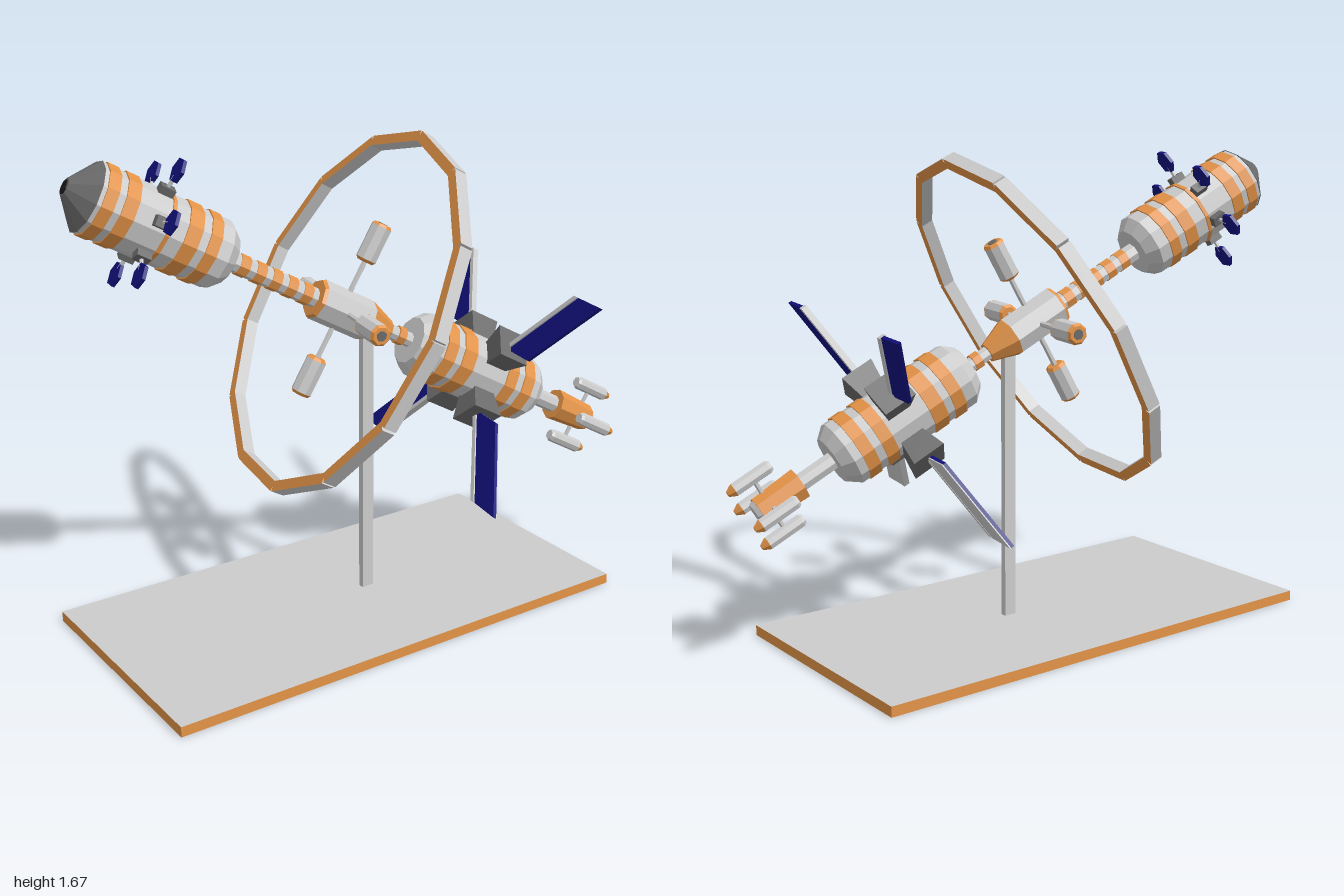
import * as THREE from 'three';

const mat = (color, extra = {}) =>
  new THREE.MeshStandardMaterial({ color, flatShading: true, ...extra });
const grey = mat(0xcccccc);
const orange = mat(0xe39347);
const dark = mat(0x6a6a6a);
const black = mat(0x181818);
const navy = mat(0x12127f);

function add(parent, name, geometry, material) {
  const mesh = new THREE.Mesh(geometry, material);
  mesh.name = name;
  parent.add(mesh);
  return mesh;
}

// Tapered cylinder along local z, from z0 (radius r0) to z1 (radius r1)
function barrel(parent, name, z0, z1, r0, r1, material, sides = 12) {
  const geo = new THREE.CylinderGeometry(r1, r0, z1 - z0, sides);
  geo.rotateX(Math.PI / 2).translate(0, 0, (z0 + z1) / 2);
  return add(parent, name, geo, material);
}

// Tapered cylinder along local y, from y0 to y1
function rod(parent, name, y0, y1, r0, r1, material, sides = 8) {
  const geo = new THREE.CylinderGeometry(r1, r0, y1 - y0, sides);
  return add(parent, name, geo.translate(0, (y0 + y1) / 2, 0), material);
}

// Groups spread around the local z axis, each with +y pointing outward
function around(parent, name, count, startDeg, z, build) {
  for (let i = 0; i < count; i++) {
    const g = new THREE.Group();
    g.name = name;
    g.position.z = z;
    g.rotation.z = THREE.MathUtils.degToRad(startDeg - 90 + (i * 360) / count);
    build(g, i);
    parent.add(g);
  }
}

// Banded drum with chamfered ends
function drum(parent, name, z0, z1, bands, frontChamfer) {
  const g = new THREE.Group();
  g.name = name;
  barrel(g, 'drumBody', z0, z1, 0.118, 0.118, grey);
  barrel(g, 'rearChamfer', z0 - 0.04, z0, 0.085, 0.118, grey);
  if (frontChamfer) barrel(g, 'frontChamfer', z1, z1 + 0.04, 0.118, 0.085, grey);
  for (const [a, b] of bands) barrel(g, 'drumBand', a, b, 0.123, 0.123, orange);
  parent.add(g);
  return g;
}

function buildStand(root) {
  const base = add(root, 'base', new THREE.BoxGeometry(0.878, 0.036, 1.767),
    [orange, orange, grey, grey, orange, orange]);
  base.position.set(0.008, 0.018, 0.108);
  base.rotation.y = -0.018;
  const post = add(root, 'post', new THREE.BoxGeometry(0.022, 1.0, 0.046), grey);
  post.position.set(0.01, 0.53, 0);
}

function buildRing(station) {
  const n = 13, half = Math.PI / n, outer = 0.636, thick = 0.036;
  const length = 2 * (outer - thick / 2) * Math.tan(half);
  around(station, 'ringSegment', n, 90 + 180 / n, 0.1, (g) => {
    const seg = add(g, 'ringBeam', new THREE.BoxGeometry(length, thick, 0.046),
      [grey, grey, grey, grey, orange, orange]);
    seg.position.y = outer - thick / 2;
  });
}

function buildHub(station) {
  barrel(station, 'hubBody', 0, 0.2, 0.072, 0.072, grey, 8);
  barrel(station, 'hubFrontCap', 0.2, 0.212, 0.072, 0.066, orange, 8);
  barrel(station, 'hubRearCone', -0.1, 0, 0.035, 0.072, orange, 8);
  barrel(station, 'rearNeck', -0.21, -0.09, 0.026, 0.026, grey, 8);
  barrel(station, 'rearNeckBand', -0.165, -0.135, 0.032, 0.032, orange, 8);

  // Banded connecting tube
  barrel(station, 'frontTube', 0.2, 0.58, 0.034, 0.034, grey, 8);
  for (let i = 0; i < 5; i++) {
    const z = 0.235 + i * 0.062;
    barrel(station, 'tubeBand', z, z + 0.036, 0.037, 0.037, orange, 8);
  }

  // Four arms with pods
  around(station, 'hubArm', 4, 0, 0.1, (g) => {
    rod(g, 'armRod', 0.05, 0.2, 0.01, 0.01, grey, 6);
    rod(g, 'armPod', 0.19, 0.31, 0.037, 0.037, grey);
    rod(g, 'podInnerCap', 0.18, 0.19, 0.028, 0.038, orange);
    rod(g, 'podOuterCap', 0.31, 0.32, 0.038, 0.03, orange);
    rod(g, 'podTip', 0.318, 0.322, 0.018, 0.018, dark);
  });
}

function buildFrontModule(station) {
  const g = drum(station, 'frontModule', 0.6, 1.065,
    [[0.645, 0.685], [0.715, 0.765], [0.815, 0.828], [0.94, 0.985], [1.01, 1.05]], false);
  barrel(g, 'noseCone', 1.065, 1.14, 0.121, 0.03, dark);
  barrel(g, 'noseOpening', 1.139, 1.143, 0.024, 0.024, black);
  around(g, 'hexPanelArm', 6, 14, 0.855, (arm) => {
    rod(arm, 'panelStrut', 0.1, 0.18, 0.007, 0.007, grey, 6);
    add(arm, 'strutFoot', new THREE.BoxGeometry(0.035, 0.03, 0.05), dark).position.y = 0.125;
    const hex = barrel(arm, 'hexPanel', -0.006, 0.006, 0.043, 0.043, navy, 6);
    hex.position.y = 0.2;
    hex.rotation.z = -arm.rotation.z + Math.PI / 2;
  });
}

// Sheared panel: level inner and outer ends, in the plane across the axis
function panelSlab(x0, x1, sx, sy, depth) {
  const [yIn, yOut, lean] = [0.12, 0.387, 0.23];
  let pts = [[x0, yIn], [x1, yIn], [x1 + lean, yOut], [x0 + lean, yOut]]
    .map(([x, y]) => new THREE.Vector2(x * sx, y * sy));
  if (sx * sy < 0) pts = pts.reverse();
  return new THREE.ExtrudeGeometry(new THREE.Shape(pts), { depth, bevelEnabled: false });
}

function buildRearModule(station) {
  const g = drum(station, 'rearModule', -0.71, -0.235,
    [[-0.325, -0.28], [-0.41, -0.355], [-0.605, -0.56], [-0.68, -0.635]], true);

  // Flared brackets on the diagonals
  around(g, 'panelBracket', 4, 45, -0.5, (b) => {
    const geo = new THREE.CylinderGeometry(0.085, 0.06, 0.1, 4).rotateY(Math.PI / 4);
    add(b, 'bracket', geo, dark).position.y = 0.15;
  });

  for (const sx of [-1, 1]) for (const sy of [-1, 1]) {
    const wing = new THREE.Group();
    wing.name = 'solarWing';
    wing.position.z = -0.5;
    add(wing, 'solarPanel', panelSlab(0.14, 0.27, sx, sy, 0.012), navy);
    add(wing, 'panelRail', panelSlab(0.118, 0.14, sx, sy, 0.022), grey).position.z = -0.005;
    if (sy < 0)
      add(wing, 'panelBacking', panelSlab(0.14, 0.27, sx, sy, 0.004), grey).position.z = -0.004;
    g.add(wing);
  }
}

function buildTail(station) {
  barrel(station, 'tailNeck', -0.89, -0.74, 0.032, 0.032, grey, 8);
  barrel(station, 'tailBody', -1.04, -0.88, 0.05, 0.058, orange, 8);
  barrel(station, 'tailEnd', -1.055, -1.04, 0.035, 0.045, grey, 8);
  around(station, 'thrusterArm', 4, 0, 0, (g) => {
    const strut = rod(g, 'thrusterStrut', 0.04, 0.1, 0.008, 0.008, grey, 6);
    strut.position.z = -1.0;
    const pod = new THREE.Group();
    pod.name = 'thruster';
    pod.position.y = 0.11;
    barrel(pod, 'thrusterBody', -1.07, -0.94, 0.024, 0.024, grey, 8);
    barrel(pod, 'thrusterTip', -1.095, -1.07, 0.01, 0.024, orange, 8);
    barrel(pod, 'thrusterNose', -0.94, -0.93, 0.024, 0.018, grey, 8);
    g.add(pod);
  });
}

export function createModel() {
  const root = new THREE.Group();
  root.name = 'spaceStationOnStand';
  buildStand(root);

  // The station is built along its own z axis, then tilted nose up
  const station = new THREE.Group();
  station.name = 'station';
  station.lookAt(-0.169, 0.484, 0.859);
  station.position.set(0, 1.039, 0);
  buildRing(station);
  buildHub(station);
  buildFrontModule(station);
  buildRearModule(station);
  buildTail(station);
  root.add(station);
  return root;
}
